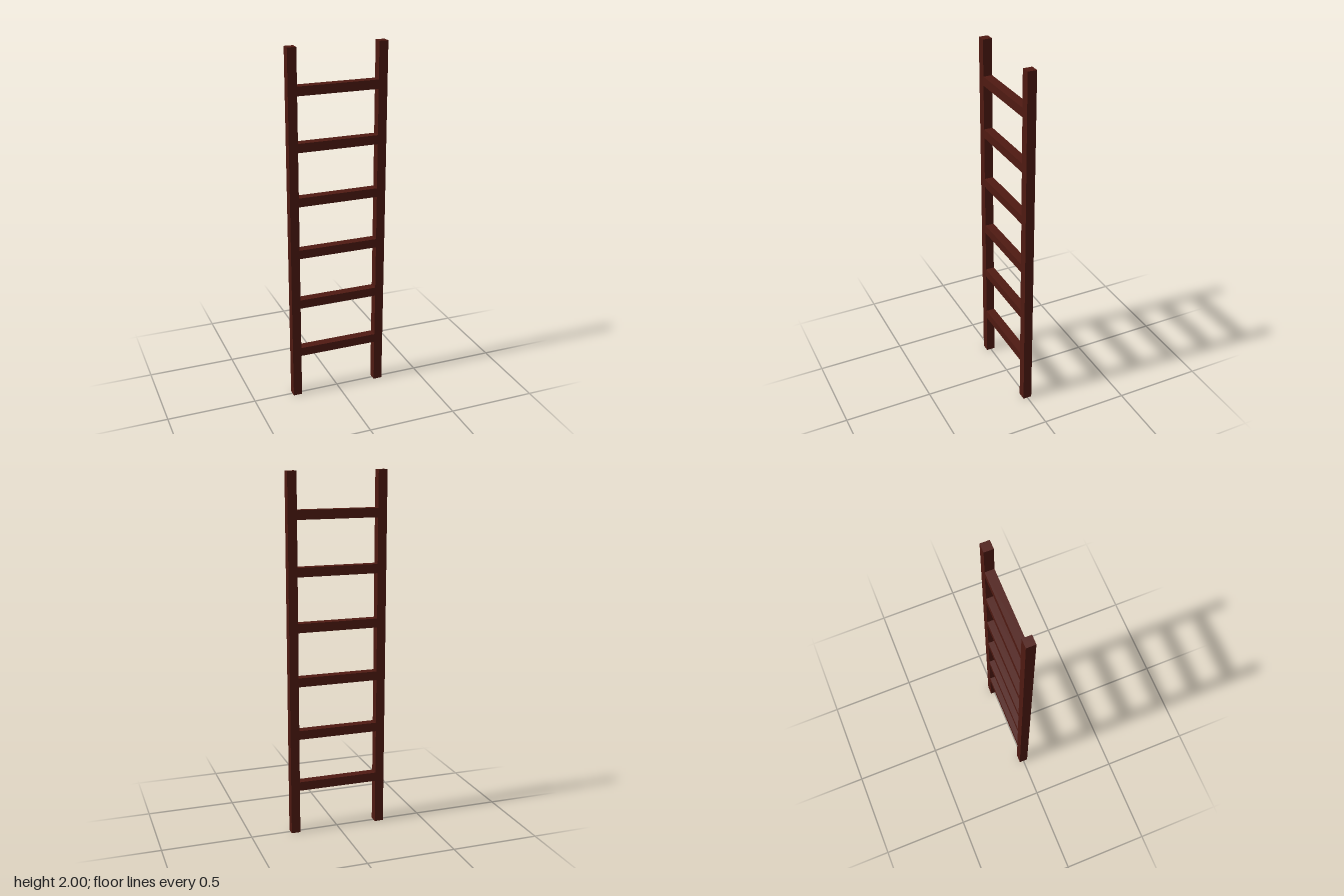
import * as THREE from 'three';

const HEIGHT = 2, THICK = 0.05, RAIL_X = 0.25;
const RUNGS = 6, FIRST_RUNG = 0.275, RUNG_STEP = 0.3;

export function createModel() {
  const ladder = new THREE.Group();
  ladder.name = 'ladder';
  const wood = new THREE.MeshStandardMaterial({ color: 0x4f1a12 });

  const addBeam = (name, geometry, x, y) => {
    const beam = new THREE.Mesh(geometry, wood);
    beam.name = name;
    beam.position.set(x, y, 0);
    ladder.add(beam);
  };

  // Two square upright rails
  const railGeometry = new THREE.BoxGeometry(THICK, HEIGHT, THICK);
  addBeam('leftRail', railGeometry, RAIL_X, HEIGHT / 2);
  addBeam('rightRail', railGeometry, -RAIL_X, HEIGHT / 2);

  // Evenly spaced rungs fitted between the rails
  const rungGeometry = new THREE.BoxGeometry(2 * RAIL_X - THICK, THICK, THICK);
  for (let i = 0; i < RUNGS; i++) {
    addBeam(`rung${i + 1}`, rungGeometry, 0, FIRST_RUNG + i * RUNG_STEP);
  }
  return ladder;
}
